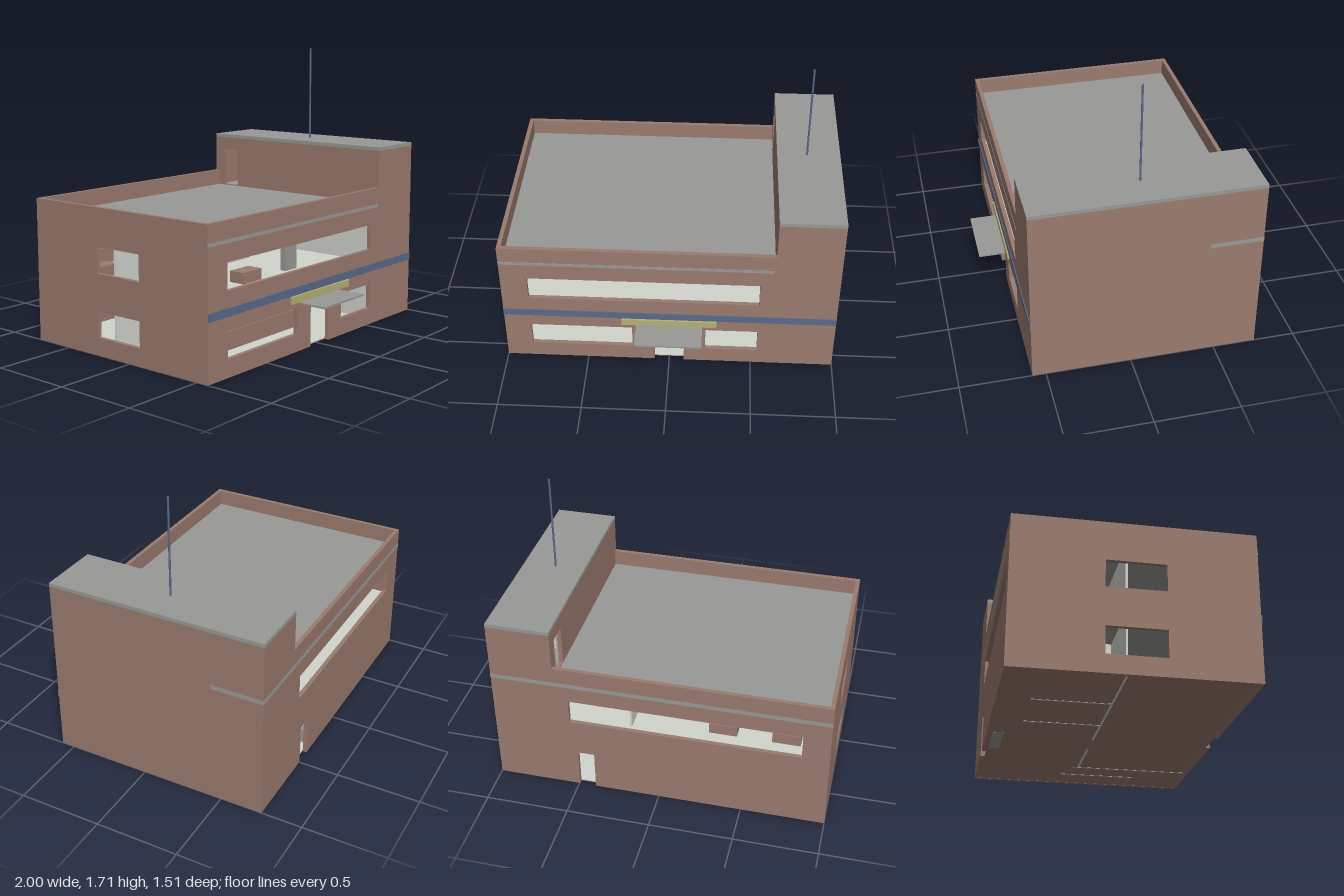
import * as THREE from 'three';

const mat = (name, color, side = THREE.FrontSide) => {
  const m = new THREE.MeshStandardMaterial({ color, side });
  m.name = name;
  return m;
};

export function createModel() {
  const brick = mat('brick', 0x9b7b6f);
  const concrete = mat('concrete', 0x999997);
  const plaster = mat('plaster', 0xd2d4ce);
  const blue = mat('blue paint', 0x5a6a8b);
  const yellow = mat('sign yellow', 0xb8b174);

  const model = new THREE.Group();
  model.name = 'building';
  const T = 0.025, FRONT = 0.58, BACK = -0.755;

  const add = (name, geometry, material) => {
    const m = new THREE.Mesh(geometry, material);
    m.name = name;
    model.add(m);
    return m;
  };
  // Box given by its limits on each axis
  const box = (name, material, x0, x1, y0, y1, z0, z1) => {
    const m = add(name, new THREE.BoxGeometry(x1 - x0, y1 - y0, z1 - z0), material);
    m.position.set((x0 + x1) / 2, (y0 + y1) / 2, (z0 + z1) / 2);
    return m;
  };
  // Upright sheet from an outline, with rectangular holes [a0, a1, b0, b1]
  const sheet = (outline, holes, depth) => {
    const s = new THREE.Shape(outline.map(p => new THREE.Vector2(...p)));
    for (const [a0, a1, b0, b1] of holes) {
      s.holes.push(new THREE.Path([[a0, b0], [a0, b1], [a1, b1], [a1, b0]].map(p => new THREE.Vector2(...p))));
    }
    return new THREE.ExtrudeGeometry(s, { depth, bevelEnabled: false });
  };
  const wallX = (name, material, outline, holes, z0, depth = T) => {
    add(name, sheet(outline, holes, depth), material).position.z = z0;
  };
  // Wall running along z; its outline is drawn in (z, y) and xMax is its +x face
  const wallZ = (name, material, outline, holes, xMax, depth = T) => {
    const m = add(name, sheet(outline, holes, depth), material);
    m.rotation.y = -Math.PI / 2;
    m.position.x = xMax;
  };
  const rect = (a0, a1, b0, b1) => [[a0, b0], [a1, b0], [a1, b1], [a0, b1]];
  // Wall face with the raised tower end and a door notch at ground level
  const facade = (d0, d1, doorTop) => [
    [-1, 0], [d0, 0], [d0, doorTop], [d1, doorTop], [d1, 0], [1, 0],
    [1, 1.09], [0.62, 1.09], [0.62, 0.86], [-1, 0.86],
  ];

  // Outer walls
  const upperWindow = [-0.84, 0.535, 0.48, 0.635];
  wallX('frontWall', brick, facade(-0.09, 0.09, 0.275),
    [upperWindow, [-0.84, -0.225, 0.105, 0.26], [0.22, 0.535, 0.105, 0.26]], FRONT - T);
  wallX('backWall', brick, facade(0.395, 0.495, 0.25), [upperWindow], BACK);
  wallZ('leftWall', brick, rect(BACK + T, FRONT - T, 0, 1.09), [], 1);
  wallZ('rightWall', brick, rect(BACK + T, FRONT - T, 0, 0.86),
    [[-0.25, 0.08, 0.48, 0.635], [-0.25, 0.08, 0.105, 0.26]], -1 + T);

  // Tower side wall with a door to the roof, and tower roof
  wallZ('towerInnerWall', brick, rect(BACK + T, FRONT - T, 0.735, 1.09), [[-0.68, -0.56, 0.765, 1.01]], 0.62 + T);
  box('towerRoof', concrete, 0.62, 1, 1.09, 1.112, BACK, FRONT);

  // Floor slabs leave the stairwell open
  const slab = (name, material, y0, y1, e) => {
    box(name, material, -0.975, 0.62, y0, y1, BACK + T, FRONT - T);
    box(name + 'Landing', material, 0.62, 0.975, y0, y1, BACK + T, -0.44);
  };
  box('groundSlab', brick, -0.975, 0.975, 0.001, 0.006, BACK + T, FRONT - T);
  box('groundFloor', plaster, -0.975, 0.975, 0.006, 0.011, BACK + T, FRONT - T);
  slab('upperSlab', concrete, 0.345, 0.375);
  slab('upperFloor', plaster, 0.375, 0.383);
  slab('roofSlab', concrete, 0.735, 0.76);

  // Slab edges showing on the outside
  const E = 0.0015;
  box('frontSlabEdge', concrete, -1, 0.61, 0.738, 0.758, FRONT - 0.002, FRONT + E);
  box('backSlabEdge', concrete, -1, 1, 0.735, 0.76, BACK - E, BACK + 0.002);
  box('leftSlabEdge', concrete, 0.998, 1 + E, 0.735, 0.76, BACK, -0.44);

  // Interior partitions, with doorways
  const P = 0.012;
  wallX('upperPartition', plaster, rect(-0.975, 0.21, 0.383, 0.735), [[-0.38, -0.27, 0.39, 0.625]], -0.14, P);
  wallZ('upperCrossPartition', plaster, rect(-0.6, -0.14, 0.383, 0.735), [], 0.21, P);
  wallX('lowerPartitionRight', plaster, rect(-0.975, 0.07, 0, 0.345), [], -0.14, P);
  wallX('lowerPartitionLeft', plaster, rect(0.24, 0.62, 0, 0.345), [[0.4, 0.495, 0.012, 0.25]], -0.14, P);
  for (const x of [-0.19, -0.55]) {
    wallZ('lowerCrossPartition', plaster, rect(-0.57, -0.14, 0, 0.345), [], x, P);
  }
  wallZ('stairPartitionLower', plaster, rect(-0.17, FRONT - T, 0, 0.345), [], 0.635, P);
  wallZ('stairPartitionUpper', plaster, rect(-0.17, FRONT - T, 0.345, 0.735), [], 0.635, P);
  wallZ('stairMiddleWall', plaster, rect(-0.23, 0.25, 0, 0.735), [], 0.796, P);

  // Stairs: one flight on each side of the middle wall, for both storeys
  for (const base of [0.011, 0.383]) {
    const rise = (base < 0.1 ? 0.372 : 0.377) / 16;
    for (let i = 0; i < 8; i++) {
      const z = -0.23 + i * 0.06, y = base + (i + 1) * rise;
      box('lowerStep', concrete, 0.8, 0.97, y - rise, y, z, z + 0.06);
      const z2 = 0.25 - i * 0.06, y2 = y + 8 * rise;
      box('upperStep', concrete, 0.64, 0.78, y2 - rise, y2, z2 - 0.06, z2);
    }
    box('stairLanding', concrete, 0.64, 0.97, base + 7 * rise, base + 8 * rise, 0.25, 0.54);
  }

  // Furniture
  box('receptionDesk', brick, -0.5, 0.305, 0.011, 0.122, 0.2, 0.28);
  for (const [x, z] of [[-0.76, 0.2], [-0.37, 0.2], [-0.43, -0.55], [-0.81, -0.55]]) {
    box('desk', brick, x, x + 0.17, 0.383, 0.45, z, z + 0.1);
  }
  box('cabinet', concrete, 0.06, 0.17, 0.383, 0.6, 0.24, 0.28);
  box('backCounter', concrete, 0.03, 0.33, 0, 0.1, -0.72, -0.66);

  // Painted band, sign board and entrance canopy
  box('frontBand', blue, -1, 1, 0.34, 0.386, FRONT, FRONT + 0.006);
  box('signBoard', yellow, -0.287, 0.285, 0.294, 0.337, FRONT, FRONT + 0.014);
  box('entranceCanopy', concrete, -0.2, 0.2, 0.277, 0.288, FRONT - 0.005, 0.755);

  // Mast on the tower roof
  add('mast', new THREE.CylinderGeometry(0.006, 0.006, 0.596, 10), blue).position.set(0.8, 1.409, -0.085);

  return model;
}
